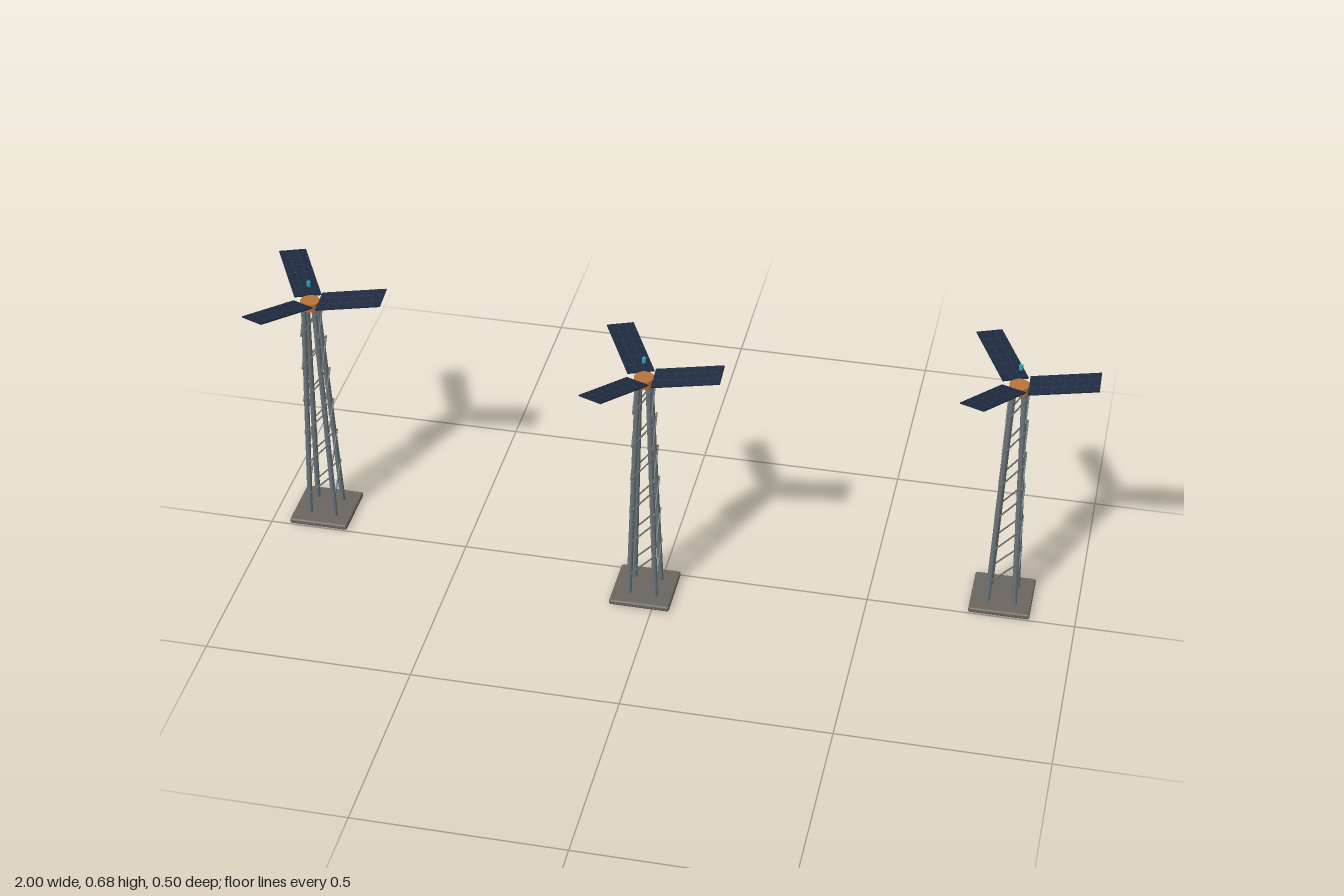
import * as THREE from 'three';
import { RoundedBoxGeometry } from 'three/addons/geometries/RoundedBoxGeometry.js';

const mat = (color) => new THREE.MeshStandardMaterial({ color });
const stone = mat(0x6b675f), steel = mat(0x6b7478), copper = mat(0xb8733a);
const panelBlue = mat(0x1e2a40), seam = mat(0x34435c), teal = mat(0x2aa5b8);

function add(parent, name, geometry, material, x = 0, y = 0, z = 0) {
  const mesh = new THREE.Mesh(geometry, material);
  mesh.name = name;
  mesh.position.set(x, y, z);
  parent.add(mesh);
  return mesh;
}

// Round bar between two points
function bar(parent, name, a, b, radius, sides = 8) {
  const from = new THREE.Vector3(...a), to = new THREE.Vector3(...b);
  const dir = to.clone().sub(from);
  const mesh = add(parent, name, new THREE.CylinderGeometry(radius, radius, dir.length(), sides), steel);
  mesh.position.copy(from).add(to).multiplyScalar(0.5);
  mesh.quaternion.setFromUnitVectors(new THREE.Vector3(0, 1, 0), dir.normalize());
}

// One panel on its arm, pointing along +x
function createBlade() {
  const blade = new THREE.Group();
  blade.name = 'blade';
  bar(blade, 'arm', [0.01, 0.622, 0], [0.096, 0.633, 0], 0.002);

  const length = 0.164, width = 0.066, thick = 0.003;
  const panel = new THREE.Group();
  panel.name = 'panel';
  panel.position.set(0.1025, 0.64, 0);
  panel.rotation.set(0.115, 0, 0.2, 'ZYX');
  add(panel, 'panelSheet', new THREE.BoxGeometry(length, thick, width), panelBlue);
  // Thin seams between the cells
  for (let i = 1; i < 6; i++)
    add(panel, 'crossSeam', new THREE.BoxGeometry(0.0007, 0.0006, width), seam, length * (i / 6 - 0.5), thick / 2, 0);
  for (let i = 1; i < 3; i++)
    add(panel, 'longSeam', new THREE.BoxGeometry(length, 0.0006, 0.0007), seam, 0, thick / 2, width * (i / 3 - 0.5));
  blade.add(panel);
  return blade;
}

function createTower() {
  const tower = new THREE.Group();
  tower.name = 'tower';
  add(tower, 'base', new RoundedBoxGeometry(0.147, 0.014, 0.147, 3, 0.005), stone, 0, 0.007, 0);

  // Four leaning legs
  for (const sx of [-1, 1])
    for (const sz of [-1, 1])
      bar(tower, 'leg', [sx * 0.0325, 0.013, sz * 0.0325], [sx * 0.013, 0.605, sz * 0.013], 0.0065, 12);

  // Six levels of diagonal braces, one on each side
  for (let i = 0; i < 6; i++) {
    const y0 = 0.065 + 0.0935 * i, y1 = y0 + 0.072, r = 0.0345 - 0.0024 * i;
    for (const s of [-r, r]) {
      bar(tower, 'brace', [s, y0, r], [s, y1, -r], 0.002, 6);
      bar(tower, 'brace', [-r, y0, s], [r, y1, s], 0.002, 6);
    }
  }

  // Hub, three blades and the beacon above
  add(tower, 'hub', new THREE.CylinderGeometry(0.0235, 0.0235, 0.02, 24), copper, 0, 0.615, 0);
  for (let k = 0; k < 3; k++) {
    const blade = createBlade();
    blade.rotation.y = (k * Math.PI * 2) / 3;
    tower.add(blade);
  }
  add(tower, 'beacon', new THREE.CylinderGeometry(0.005, 0.005, 0.012, 12), teal, 0, 0.672, 0);
  return tower;
}

export function createModel() {
  const model = new THREE.Group();
  model.name = 'towers';
  for (const [x, z] of [[-0.88, -0.075], [-0.0315, 0.075], [0.817, -0.075]]) {
    const tower = createTower();
    tower.position.set(x, 0, z);
    model.add(tower);
  }
  return model;
}
